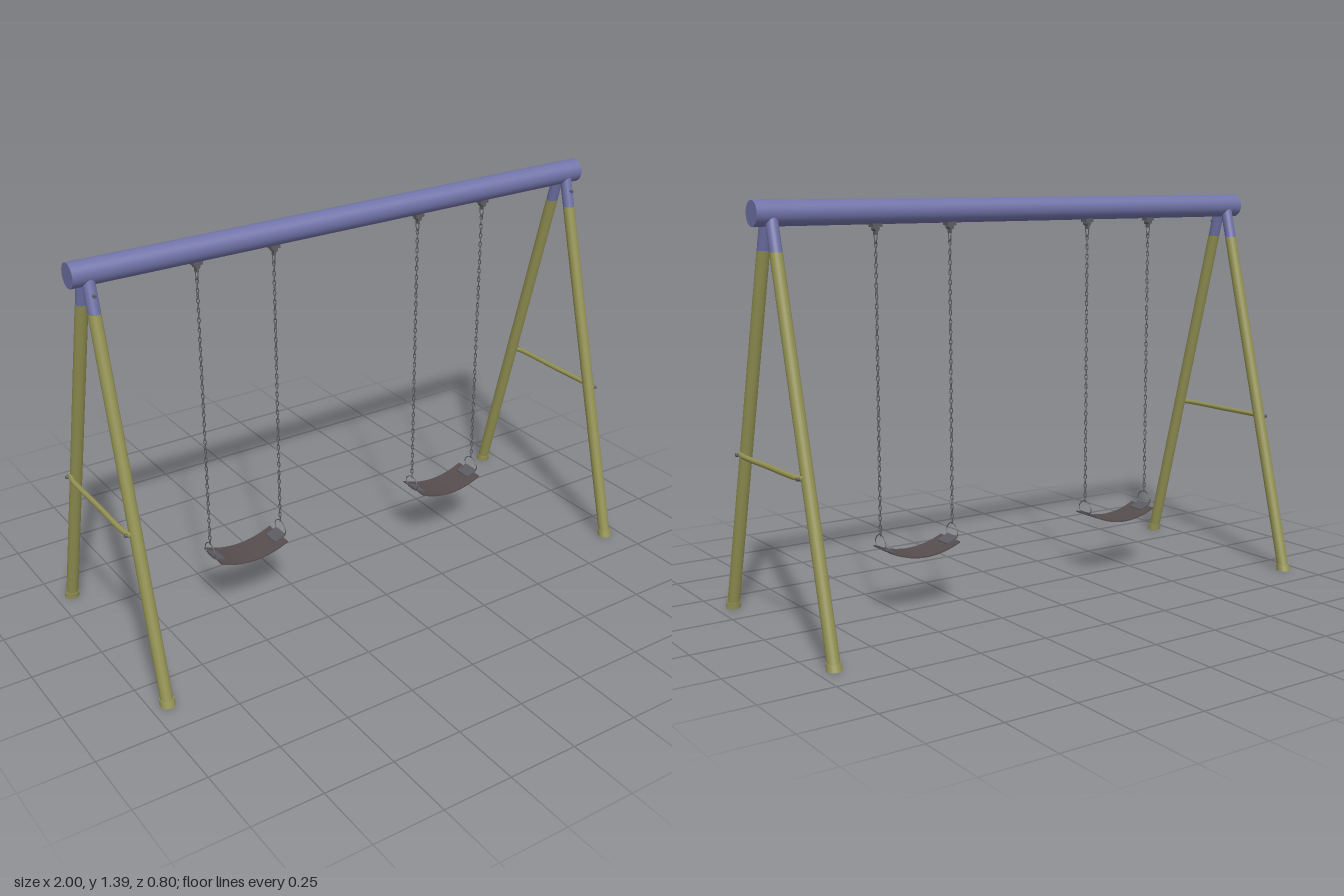
import * as THREE from 'three';
import { mergeGeometries } from 'three/addons/utils/BufferGeometryUtils.js';

const mat = (name, color) => new THREE.MeshStandardMaterial({ name, color });

export function createModel() {
  const blue = mat('blue paint', 0x7073a8);
  const olive = mat('olive paint', 0x959354);
  const rubber = mat('dark rubber', 0x574d4f);
  const steel = mat('dark steel', 0x5c5c62);

  const model = new THREE.Group();
  model.name = 'swingSet';
  const add = (parent, name, geometry, material, x = 0, y = 0, z = 0) => {
    const mesh = new THREE.Mesh(geometry, material);
    mesh.name = name;
    mesh.position.set(x, y, z);
    parent.add(mesh);
    return mesh;
  };

  // Top beam
  add(model, 'topBeam', new THREE.CylinderGeometry(0.041, 0.041, 2, 32).rotateZ(Math.PI / 2), blue, 0, 1.352, 0);

  // Leaning tube between two heights, with level ends
  const slope = 0.267;
  const legZ = y => 0.376 - slope * y;
  const leaning = (rTop, rBottom, y0, y1, side) => {
    const g = new THREE.CylinderGeometry(rTop, rBottom, y1 - y0, 24).translate(0, (y0 + y1) / 2, 0);
    const shear = new THREE.Matrix4().set(
      1, 0, 0, 0,
      0, 1, 0, 0,
      0, -slope * side, 1, 0.376 * side,
      0, 0, 0, 1);
    return g.applyMatrix4(shear);
  };

  // A-frames at both ends
  for (const s of [-1, 1]) {
    const frame = new THREE.Group();
    frame.name = s > 0 ? 'leftFrame' : 'rightFrame';
    frame.position.x = s * 0.943;
    model.add(frame);
    for (const side of [-1, 1]) {
      add(frame, 'leg', leaning(0.021, 0.021, 0.02, 1.235, side), olive);
      add(frame, 'foot', leaning(0.0235, 0.0255, 0, 0.022, side), olive);
      add(frame, 'legSleeve', leaning(0.0205, 0.0205, 1.23, 1.34, side), blue);
      // Bolt that holds the cross bar
      add(frame, 'barBolt', new THREE.CylinderGeometry(0.006, 0.006, 0.014, 8).rotateZ(Math.PI / 2),
        steel, s * 0.03, 0.562, side * legZ(0.562));
    }
    add(frame, 'sleeveBolt', new THREE.CylinderGeometry(0.005, 0.005, 0.012, 8).rotateX(Math.PI / 2),
      steel, 0, 1.293, 0.057);
    // Cross bar, bent in towards the legs at its ends
    const path = new THREE.CatmullRomCurve3([
      [0.018, -0.238], [0.022, -0.215], [0.027, -0.19], [0.027, 0], [0.027, 0.19], [0.022, 0.215], [0.018, 0.238],
    ].map(([x, z]) => new THREE.Vector3(s * x, 0.562, z)));
    add(frame, 'crossBar', new THREE.TubeGeometry(path, 32, 0.009, 10), olive);
  }

  // Chain of interlocking oval links, turned a quarter each time
  const chainGeometry = (y0, y1) => {
    const count = 58;
    const pitch = (y1 - y0) / count;
    const links = [];
    for (let i = 0; i < count; i++) {
      links.push(new THREE.TorusGeometry(0.0045, 0.0017, 5, 10)
        .scale(1, 2.05, 1)
        .rotateY(Math.PI / 4 + i * Math.PI / 2 + 0.12 * Math.sin(i * 1.7))
        .translate(0, y0 + pitch * (i + 0.5), 0));
    }
    return mergeGeometries(links);
  };
  const chain = chainGeometry(0.28, 1.255);

  // Wire loop joining the chain to the seat
  const loopPoints = [
    [0, 0.282], [0.022, 0.274], [0.036, 0.254], [0.026, 0.236], [0, 0.232],
    [-0.026, 0.236], [-0.036, 0.254], [-0.022, 0.274],
  ].map(([z, y]) => new THREE.Vector3(0, y, z));
  const seatLoop = new THREE.TubeGeometry(new THREE.CatmullRomCurve3(loopPoints, true), 40, 0.0017, 6, true);
  const topLoop = new THREE.TorusGeometry(0.009, 0.0016, 6, 16).scale(1, 2.4, 1).rotateY(Math.PI / 2);

  // Sheet that sags along the seat curve
  const sagging = (x0, x1, thick, depth, lift) => {
    const g = new THREE.BoxGeometry(x1 - x0, thick, depth, 24, 1, 1).translate((x0 + x1) / 2, lift, 0);
    const p = g.attributes.position;
    for (let i = 0; i < p.count; i++) {
      p.setY(i, p.getY(i) + 0.198 + 0.034 * (p.getX(i) / 0.14) ** 2);
    }
    g.computeVertexNormals();
    return g;
  };

  // Two swings
  for (const s of [-1, 1]) {
    const swing = new THREE.Group();
    swing.name = s > 0 ? 'leftSwing' : 'rightSwing';
    swing.position.x = s * 0.43;
    model.add(swing);
    add(swing, 'seat', sagging(-0.133, 0.133, 0.005, 0.126, 0), rubber);
    for (const e of [-1, 1]) {
      const x = e * 0.141;
      const [a, b] = e > 0 ? [0.1, 0.142] : [-0.142, -0.1];
      add(swing, 'seatClamp', sagging(a, b, 0.006, 0.064, 0.004), steel);
      add(swing, 'seatLoop', seatLoop, steel, x);
      add(swing, 'chain', chain, steel, x);
      add(swing, 'topLoop', topLoop, steel, x, 1.272, 0);
      // Hanger bracket under the beam
      add(swing, 'hangerPlate', new THREE.BoxGeometry(0.034, 0.012, 0.03), steel, x, 1.308, 0);
      add(swing, 'hangerBarrel', new THREE.CylinderGeometry(0.009, 0.009, 0.026, 12).rotateX(Math.PI / 2),
        steel, x, 1.297, 0);
      add(swing, 'hangerTongue', new THREE.BoxGeometry(0.008, 0.018, 0.016), steel, x, 1.286, 0);
    }
  }
  return model;
}
